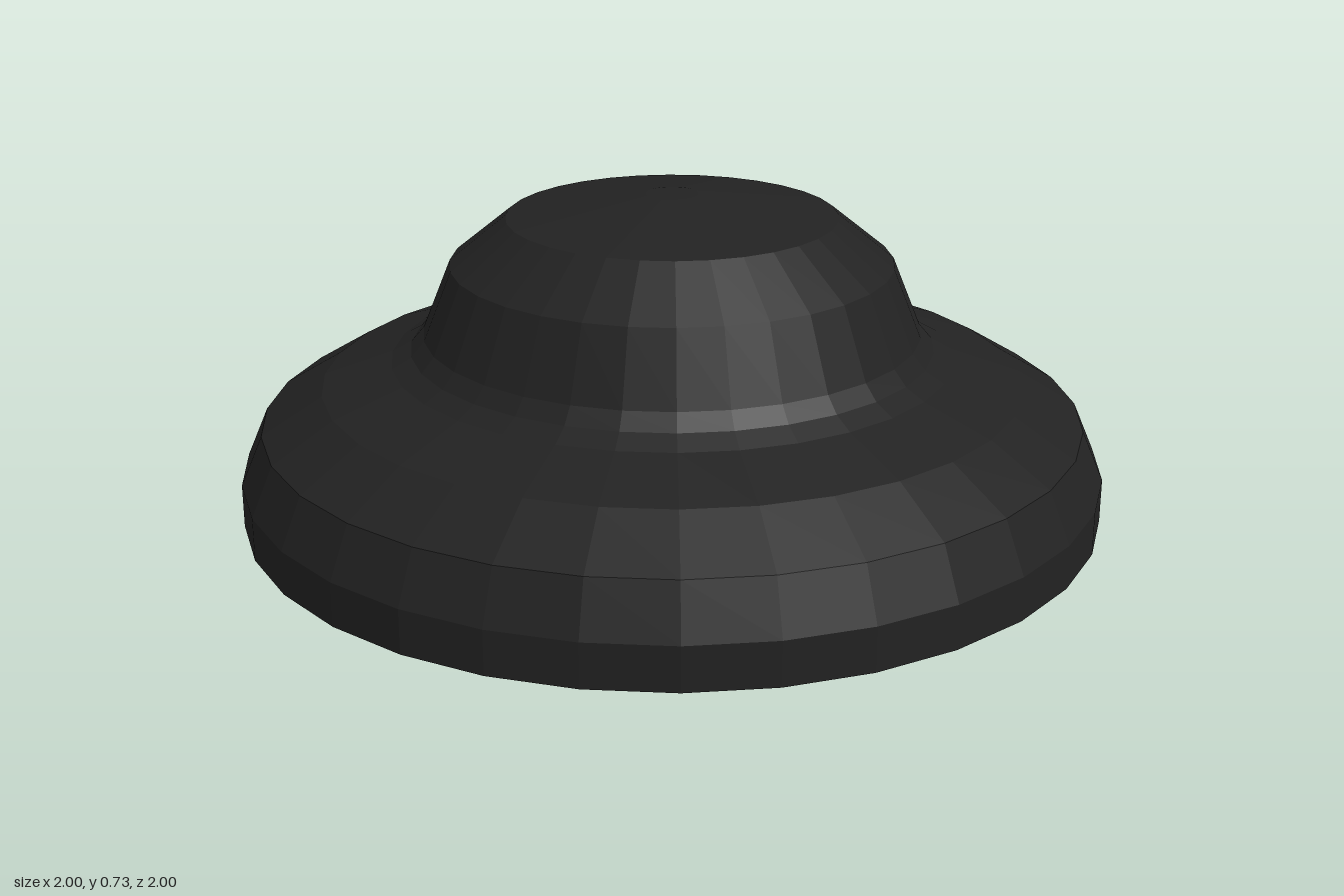
import * as THREE from 'three';

export function createModel() {
  const group = new THREE.Group();
  group.name = 'domedCap';

  const black = new THREE.MeshStandardMaterial({ color: 0x222222, flatShading: true, side: THREE.DoubleSide });
  black.name = 'matte black';

  // Thin open shell: rim, sloping skirt, narrow neck, shallow crown
  const profile = [
    [1, 0], [1, 0.1], [0.95, 0.215], [0.81, 0.3], [0.65, 0.355], [0.605, 0.38],
    [0.575, 0.415], [0.51, 0.575], [0.38, 0.68], [0.06, 0.73], [0, 0.73],
  ].map(([r, y]) => new THREE.Vector2(r, y));

  const shell = new THREE.Mesh(new THREE.LatheGeometry(profile, 32), black);
  shell.name = 'shell';
  group.add(shell);
  return group;
}
